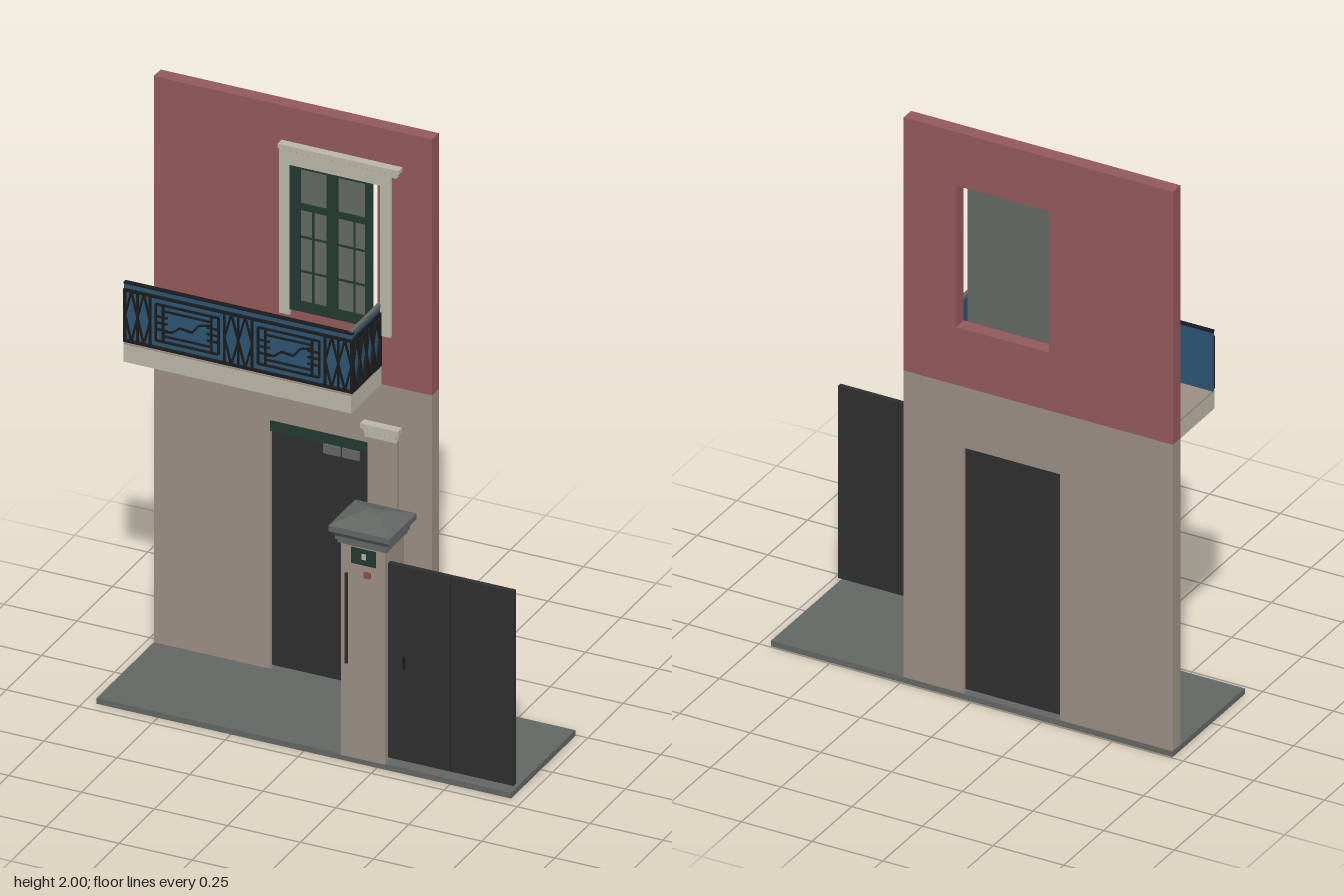
import * as THREE from 'three';

const mat = (name, color) => {
  const m = new THREE.MeshStandardMaterial({ color });
  m.name = name;
  return m;
};

export function createModel() {
  const red = mat('red plaster', 0x92585a), beige = mat('beige plaster', 0x998d83);
  const stone = mat('grey stone', 0x626663), cream = mat('cream moulding', 0xb8b4a6);
  const blue = mat('blue panel', 0x2b5372), green = mat('dark green', 0x21392f);
  const dark = mat('dark gate', 0x2f2f2f), iron = mat('black iron', 0x1b1b1c);
  const glass = mat('grey glass', 0x636864), copper = mat('copper button', 0x8c5040);

  const model = new THREE.Group();
  const group = (name, parent = model) => {
    const g = new THREE.Group();
    g.name = name;
    parent.add(g);
    return g;
  };
  const add = (parent, name, geometry, material) => {
    const m = new THREE.Mesh(geometry, material);
    m.name = name;
    parent.add(m);
    return m;
  };
  // Box given by its limits on each axis
  const box = (parent, name, material, x0, x1, y0, y1, z0, z1) => {
    const m = add(parent, name, new THREE.BoxGeometry(x1 - x0, y1 - y0, z1 - z0), material);
    m.position.set((x0 + x1) / 2, (y0 + y1) / 2, (z0 + z1) / 2);
    return m;
  };
  const polygon = (pts) => pts.map(([x, y]) => new THREE.Vector2(x, y));
  const FRONT = -0.195, BACK = -0.243;

  box(model, 'floor', stone, -0.71, 0.71, 0, 0.02, -0.245, 0.21);

  // Wall: lower part with a door notch, upper part with a window hole
  const wall = group('wall');
  const slab = (name, shape, material) => {
    const g = new THREE.ExtrudeGeometry(shape, { depth: FRONT - BACK, bevelEnabled: false });
    add(wall, name, g, material).position.z = BACK;
  };
  slab('lowerWall', new THREE.Shape(polygon([[-0.71, 0.02], [-0.31, 0.02], [-0.31, 0.89], [0.03, 0.89],
    [0.03, 0.02], [0.243, 0.02], [0.243, 1.105], [-0.71, 1.105]])), beige);
  const upper = new THREE.Shape(polygon([[-0.71, 1.105], [0.243, 1.105], [0.243, 2], [-0.71, 2]]));
  upper.holes.push(new THREE.Path(polygon([[-0.272, 1.31], [-0.272, 1.81], [0.057, 1.81], [0.057, 1.31]])));
  slab('upperWall', upper, red);

  // House door
  const door = group('door');
  box(door, 'doorLeaf', dark, -0.31, 0.03, 0.03, 0.885, -0.23, -0.205);
  box(door, 'doorHeader', green, -0.31, 0.03, 0.855, 0.89, -0.205, -0.19);
  for (const x of [-0.132, -0.067]) box(door, 'doorPlate', stone, x, x + 0.058, 0.815, 0.847, -0.205, -0.198);

  // Pilaster with a toothed capital
  const pilaster = group('pilaster');
  box(pilaster, 'pilasterShaft', beige, 0.03, 0.13, 0.04, 0.92, FRONT, -0.18);
  box(pilaster, 'capitalNeck', cream, 0.02, 0.13, 0.92, 0.945, FRONT, -0.176);
  box(pilaster, 'capitalTop', cream, 0.01, 0.14, 0.952, 0.968, FRONT, -0.166);
  box(pilaster, 'capitalBand', cream, 0.015, 0.135, 0.944, 0.953, FRONT, -0.172);
  for (let i = 0; i < 6; i++) {
    const x = 0.021 + i * 0.019;
    box(pilaster, 'capitalTooth', cream, x, x + 0.012, 0.934, 0.945, -0.177, -0.171);
  }

  // Window
  const win = group('window');
  box(win, 'windowGlass', glass, -0.272, 0.042, 1.3, 1.81, -0.196, -0.192);
  for (const [x0, x1] of [[-0.242, -0.204], [-0.114, -0.076], [0.018, 0.042]])
    box(win, 'windowStile', green, x0, x1, 1.3, 1.81, -0.192, -0.184);
  for (const [y0, y1] of [[1.3, 1.335], [1.655, 1.677], [1.797, 1.81]])
    box(win, 'windowRail', green, -0.242, 0.042, y0, y1, -0.192, -0.185);
  for (const x of [-0.162, -0.02]) box(win, 'windowMuntin', green, x - 0.003, x + 0.003, 1.3, 1.66, -0.192, -0.187);
  for (const y of [1.44, 1.56]) box(win, 'windowCrossbar', green, -0.242, 0.042, y - 0.003, y + 0.003, -0.192, -0.187);

  // Window surround and cornice
  const surround = group('windowSurround');
  for (const x of [-0.276, 0.07]) box(surround, 'surroundJamb', cream, x, x + 0.036, 1.28, 1.81, FRONT, -0.183);
  box(surround, 'surroundLintel', cream, -0.276, 0.106, 1.805, 1.852, FRONT, -0.183);
  box(surround, 'corniceBand', cream, -0.262, 0.13, 1.845, 1.868, FRONT, -0.177);
  box(surround, 'corniceTop', cream, -0.272, 0.142, 1.866, 1.88, FRONT, -0.166);
  for (let i = 0; i < 20; i++) {
    const x = -0.262 + i * 0.0202;
    box(surround, 'corniceTooth', cream, x, x + 0.011, 1.856, 1.867, -0.178, -0.17);
  }

  // Balcony slab
  const balcony = group('balcony');
  box(balcony, 'balconySlab', cream, -0.71, 0.07, 1.105, 1.166, FRONT, 0.02);
  box(balcony, 'balconyFloor', beige, -0.71, 0.07, 1.166, 1.171, FRONT, 0.019);

  // Flat iron bar between two points of a railing
  const bar = (rail, x0, y0, x1, y1, w = 0.006) => {
    const m = add(rail, 'ironBar', new THREE.BoxGeometry(Math.hypot(x1 - x0, y1 - y0), w, 0.007), iron);
    m.position.set((x0 + x1) / 2, (y0 + y1) / 2, 0);
    m.rotation.z = Math.atan2(y1 - y0, x1 - x0);
  };
  const LOW = 1.18, HIGH = 1.357, MID = (LOW + HIGH) / 2;
  // Pairs of long diamonds between uprights
  const lattice = (rail, x0, x1, count) => {
    const step = (x1 - x0) / count;
    for (let i = 0; i <= count; i++) bar(rail, x0 + i * step, LOW, x0 + i * step, HIGH);
    for (let i = 0; i < count; i++) {
      const a = x0 + i * step, b = a + step, c = (a + b) / 2;
      for (const x of [a, b]) {
        bar(rail, c, LOW, x, MID, 0.005);
        bar(rail, x, MID, c, HIGH, 0.005);
      }
    }
  };
  // Framed field with stepped sides and a broken line
  const field = (rail, x0, x1) => {
    const a = x0 + 0.025, b = x1 - 0.025;
    for (const y of [1.205, 1.332]) bar(rail, x0, y, x1, y);
    for (const y of [1.225, 1.312]) bar(rail, a, y, b, y, 0.005);
    for (const x of [x0, x1, a, b]) bar(rail, x, 1.205, x, 1.332);
    for (const y of [1.245, 1.268, 1.29]) {
      bar(rail, x0, y, a + 0.015, y, 0.005);
      bar(rail, b - 0.015, y, x1, y, 0.005);
    }
    const w = b - a;
    const line = [[0, 1.24], [0.2, 1.245], [0.35, 1.265], [0.6, 1.26], [0.75, 1.29], [1, 1.3]];
    for (let i = 1; i < line.length; i++)
      bar(rail, a + w * line[i - 1][0], line[i - 1][1], a + w * line[i][0], line[i][1]);
  };
  const frame = (rail, x0, x1) => {
    for (const y of [LOW, HIGH]) bar(rail, x0, y, x1, y, 0.009);
    for (const x of [x0 + 0.003, x1 - 0.003]) bar(rail, x, LOW, x, HIGH, 0.007);
  };

  // Front railing
  box(balcony, 'frontPanel', blue, -0.71, 0.07, 1.168, 1.378, 0.006, 0.015);
  box(balcony, 'frontHandrail', iron, -0.71, 0.072, 1.378, 1.384, 0.005, 0.019);
  const front = group('frontRailing', balcony);
  front.position.z = 0.0185;
  frame(front, -0.71, 0.074);
  lattice(front, -0.705, -0.62, 2);
  field(front, -0.6, -0.385);
  lattice(front, -0.365, -0.27, 2);
  field(front, -0.25, -0.04);
  lattice(front, -0.02, 0.07, 2);

  // Side railing
  box(balcony, 'sidePanel', blue, 0.06, 0.068, 1.168, 1.378, FRONT, 0.015);
  box(balcony, 'sideHandrail', stone, 0.06, 0.072, 1.378, 1.39, FRONT, 0.012);
  const side = group('sideRailing', balcony);
  side.position.set(0.0715, 0, 0.021);
  side.rotation.y = Math.PI / 2;
  frame(side, 0, 0.21);
  lattice(side, 0.012, 0.2, 4);

  // Gate post with a stepped cap and a low hipped top
  const post = group('gatePost');
  box(post, 'postShaft', beige, 0.13, 0.28, 0.02, 0.77, 0.08, 0.215);
  const cx = 0.205, cz = 0.147;
  [[0.083, 0.075, 0.765, 0.778], [0.09, 0.08, 0.778, 0.79]].forEach(([w, d, y0, y1]) =>
    box(post, 'capStep', stone, cx - w, cx + w, y0, y1, cz - d, cz + d));
  // Four-sided frustum centred on the post
  const frustum = (name, y0, y1, w0, d0, w1, d1) => {
    const g = new THREE.BoxGeometry(2, y1 - y0, 2);
    const p = g.attributes.position;
    for (let i = 0; i < p.count; i++) {
      const top = p.getY(i) > 0;
      p.setX(i, p.getX(i) * (top ? w1 : w0));
      p.setZ(i, p.getZ(i) * (top ? d1 : d0));
    }
    g.computeVertexNormals();
    add(post, name, g, stone).position.set(cx, (y0 + y1) / 2, cz);
  };
  frustum('capFlare', 0.79, 0.808, 0.09, 0.08, 0.105, 0.094);
  frustum('capEdge', 0.808, 0.828, 0.105, 0.094, 0.105, 0.094);
  frustum('capRoof', 0.828, 0.859, 0.105, 0.094, 0.025, 0.014);

  // Fittings on the post
  box(post, 'signPlate', green, 0.166, 0.25, 0.702, 0.757, 0.215, 0.219);
  box(post, 'signPatch', cream, 0.202, 0.217, 0.722, 0.742, 0.219, 0.2205);
  box(post, 'bellButton', copper, 0.21, 0.232, 0.66, 0.68, 0.215, 0.222);
  box(post, 'pullBar', dark, 0.147, 0.156, 0.35, 0.665, 0.219, 0.227);
  for (const y of [0.39, 0.46, 0.58, 0.64]) box(post, 'pullBarMount', dark, 0.149, 0.154, y, y + 0.008, 0.215, 0.219);

  // Gate
  const gate = group('gate');
  box(gate, 'gateLeaf', dark, 0.28, 0.494, 0.035, 0.715, 0.176, 0.192);
  box(gate, 'gateLeaf', dark, 0.496, 0.71, 0.035, 0.715, 0.176, 0.192);
  box(gate, 'gateSeam', iron, 0.492, 0.498, 0.036, 0.714, 0.177, 0.191);
  box(gate, 'gateHandle', iron, 0.331, 0.34, 0.358, 0.4, 0.192, 0.2);
  return model;
}
